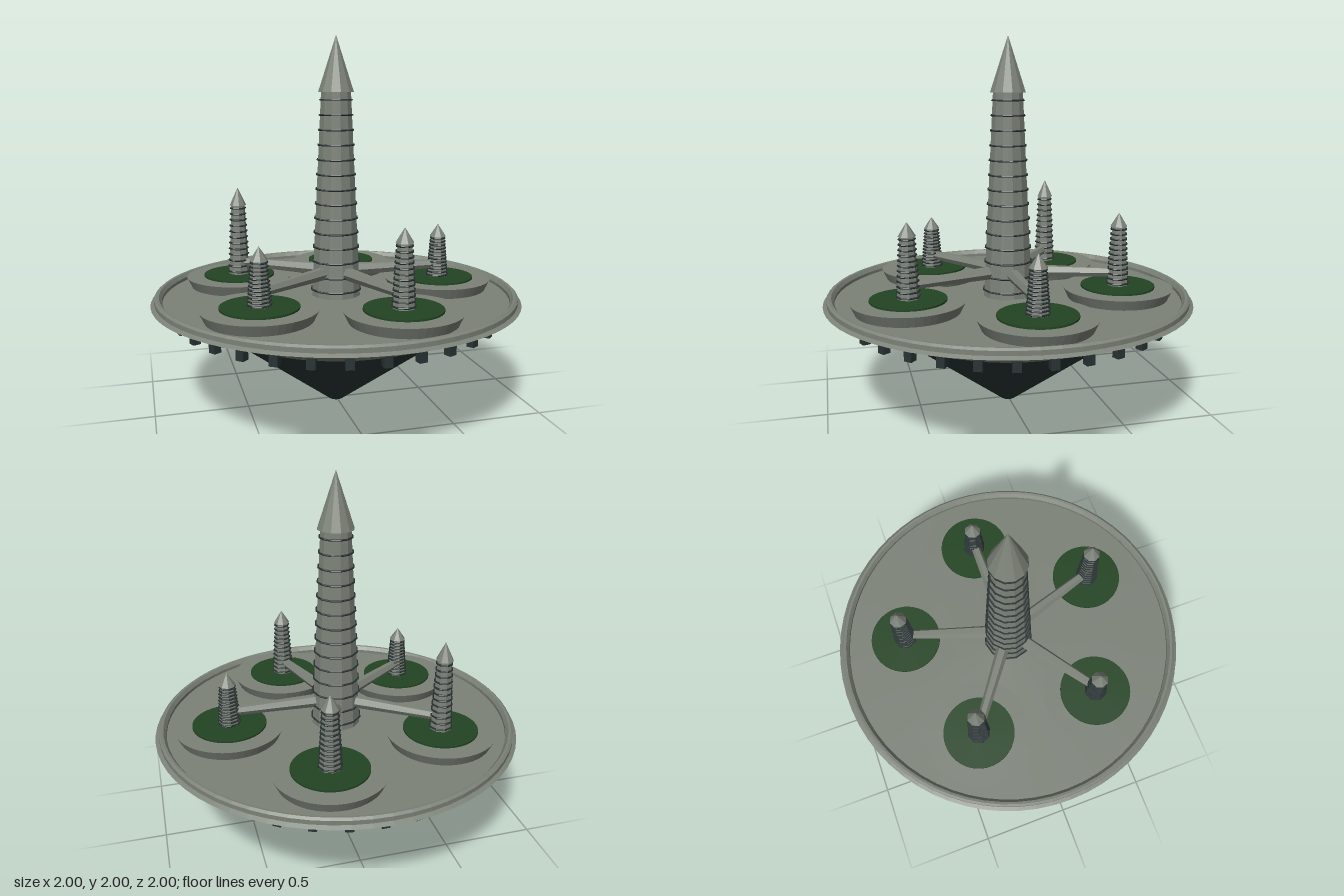
import * as THREE from 'three';

const material = (name, color) => {
  const m = new THREE.MeshStandardMaterial({ color });
  m.name = name;
  return m;
};

// Faceted normals for a geometry
const facet = (geometry) => {
  const g = geometry.index ? geometry.toNonIndexed() : geometry;
  g.computeVertexNormals();
  return g;
};

export function createModel() {
  const grey = material('stoneGrey', 0x7c8278);
  const dark = material('darkMetal', 0x293334);
  const green = material('parkGreen', 0x224422);
  const model = new THREE.Group();
  model.name = 'floatingCity';

  const add = (parent, name, geometry, mat, x = 0, y = 0, z = 0) => {
    const mesh = new THREE.Mesh(facet(geometry), mat);
    mesh.name = name;
    mesh.position.set(x, y, z);
    parent.add(mesh);
    return mesh;
  };
  const lathe = (points, sides) =>
    new THREE.LatheGeometry(points.map(([r, y]) => new THREE.Vector2(r, y)), sides);

  // Hull: dark keel cone, sloping underside and raised rim around the deck
  add(model, 'keel', lathe([[0, 0], [0.04, 0], [0.64, 0.45]], 64), dark);
  add(model, 'underside', lathe([[0.64, 0.45], [1, 0.6]], 64), grey);
  add(model, 'rim', lathe([[1, 0.6], [0.98, 0.612], [0.98, 0.635], [0.968, 0.645],
    [0.955, 0.643], [0.94, 0.622], [0.94, 0.605]], 64), grey);
  add(model, 'deck', lathe([[0.96, 0.605], [0, 0.605]], 64), grey);

  // Thruster blocks hanging below the hull
  const blocks = 32;
  for (let i = 0; i < blocks; i++) {
    const a = (i / blocks) * Math.PI * 2;
    const block = add(model, 'thrusterBlock', new THREE.BoxGeometry(0.042, 0.055, 0.04), dark,
      Math.sin(a) * 0.867, 0.527, Math.cos(a) * 0.867);
    block.rotation.y = a;
  }

  // Tapered tower with evenly spaced bands and a pointed roof
  const tower = (name, o) => {
    const group = new THREE.Group();
    group.name = name;
    const height = o.top - o.bottom;
    add(group, 'towerBody', new THREE.CylinderGeometry(o.rTop, o.rBottom, height, o.sides),
      grey, 0, o.bottom + height / 2, 0);
    for (let i = 0; i < o.bands; i++) {
      const t = (i + 0.5) / o.bands;
      const r = THREE.MathUtils.lerp(o.rBottom, o.rTop, t) + 0.003;
      const band = add(group, 'band', new THREE.TorusGeometry(r, o.bandSize, 6, o.sides),
        dark, 0, o.bottom + height * t, 0);
      band.rotation.x = Math.PI / 2;
    }
    add(group, 'spire', new THREE.ConeGeometry(o.rSpire, o.tip - o.top, o.sides),
      grey, 0, (o.top + o.tip) / 2, 0);
    model.add(group);
    return group;
  };

  tower('mainTower', {
    bottom: 0.6, top: 1.705, tip: 2, rBottom: 0.136, rTop: 0.082, rSpire: 0.098,
    sides: 12, bands: 14.4 | 0, bandSize: 0.005,
  });

  // Five outer districts: raised pad, park, small tower and bridge to the centre
  const tips = [0.97, 1.07, 1.17];
  const spires = [0.07, 0.075, 0.1];
  for (let i = 0; i < 5; i++) {
    const a = (i / 5) * Math.PI * 2;
    const x = Math.cos(a) * 0.6;
    const z = -Math.sin(a) * 0.6;
    add(model, 'pad', new THREE.CylinderGeometry(0.298, 0.27, 0.06, 48), grey, x, 0.632, z);
    add(model, 'park', new THREE.CylinderGeometry(0.2, 0.2, 0.012, 48), green, x, 0.666, z);
    const tip = tips[i % 3];
    const small = tower('outerTower', {
      bottom: 0.67, top: tip - spires[i % 3], tip, rBottom: 0.058, rTop: 0.038, rSpire: 0.047,
      sides: 8, bands: 12, bandSize: 0.005,
    });
    small.position.set(x, 0, z);

    // Bridge tapers outward
    const bridge = new THREE.CylinderGeometry(0.025, 0.037, 0.5, 6);
    bridge.rotateZ(-Math.PI / 2);
    const span = add(model, 'bridge', bridge, grey, x * 0.55, 0.74, z * 0.55);
    span.rotation.y = a;
  }
  return model;
}
